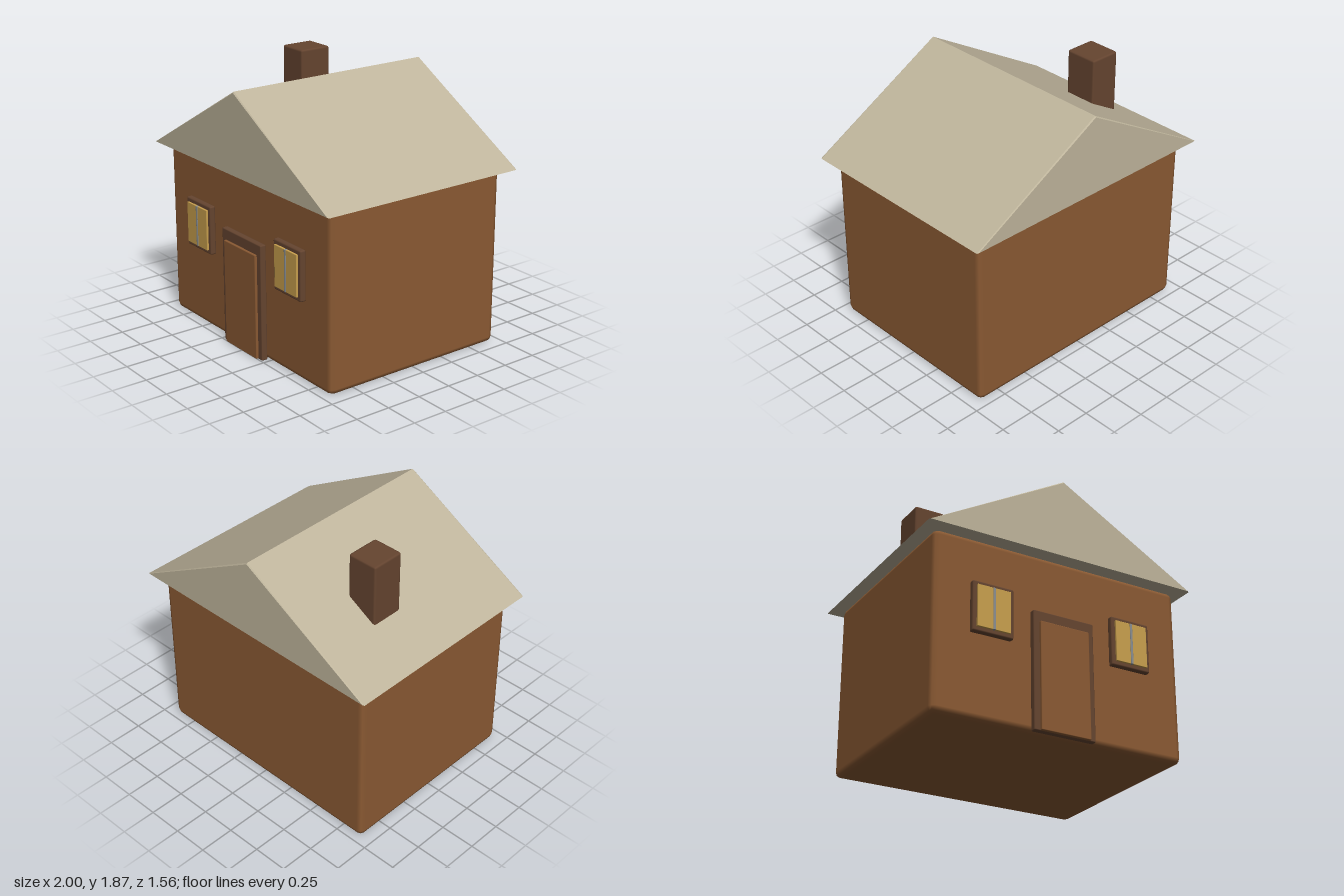
import * as THREE from 'three';
import { RoundedBoxGeometry } from 'three/addons/geometries/RoundedBoxGeometry.js';

function material(name, color) {
  const m = new THREE.MeshStandardMaterial({ color });
  m.name = name;
  return m;
}

export function createModel() {
  const wood = material('warm brown wood', 0x8b5a33);
  const trim = material('dark brown trim', 0x664530);
  const roofing = material('pale stone roofing', 0xbfb59c);
  const glass = material('amber glass', 0xc9a04e);
  const metal = material('grey metal', 0x8a8f92);

  const house = new THREE.Group();
  house.name = 'house';

  // Box with chamfered, softly shaded edges, given by its limits
  function block(name, mat, [x0, x1], [y0, y1], [z0, z1], bevel, parent = house) {
    const geometry = new RoundedBoxGeometry(x1 - x0, y1 - y0, z1 - z0, 1, bevel);
    const mesh = new THREE.Mesh(geometry, mat);
    mesh.name = name;
    mesh.position.set((x0 + x1) / 2, (y0 + y1) / 2, (z0 + z1) / 2);
    parent.add(mesh);
    return mesh;
  }

  // Walls
  block('walls', wood, [-0.92, 0.92], [0, 1.24], [-0.7, 0.7], 0.04);

  // Gabled roof with a fine bevel at the gable ends
  const gable = new THREE.Shape();
  gable.moveTo(-1, 1.24);
  gable.lineTo(1, 1.24);
  gable.lineTo(0, 1.81);
  gable.closePath();
  const bevel = 0.008;
  const roofGeometry = new THREE.ExtrudeGeometry(gable, {
    depth: 1.56 - 2 * bevel,
    bevelEnabled: true,
    bevelThickness: bevel,
    bevelSize: bevel,
    bevelOffset: -bevel,
    bevelSegments: 1,
  });
  roofGeometry.translate(0, 0, -0.78 + bevel);
  const roof = new THREE.Mesh(roofGeometry, roofing);
  roof.name = 'roof';
  house.add(roof);

  // Chimney on the right slope, towards the back
  block('chimney', trim, [-0.668, -0.445], [1.3, 1.87], [-0.33, -0.09], 0.015);

  // Door and its frame
  block('doorFrame', trim, [-0.225, 0.225], [0, 0.82], [0.698, 0.743], 0.008);
  block('door', wood, [-0.182, 0.182], [0.003, 0.745], [0.73, 0.76], 0.006);

  // Windows: frame, two panes and a central bar
  for (const side of [-1, 1]) {
    const window = new THREE.Group();
    window.name = side > 0 ? 'leftWindow' : 'rightWindow';
    window.position.x = side * 0.517;
    house.add(window);
    block('windowFrame', trim, [-0.148, 0.148], [0.57, 0.92], [0.698, 0.743], 0.012, window);
    block('innerPane', glass, [-0.12, -0.008], [0.6, 0.89], [0.735, 0.757], 0.003, window);
    block('outerPane', glass, [0.008, 0.12], [0.6, 0.89], [0.735, 0.757], 0.003, window);
    block('windowBar', metal, [-0.009, 0.009], [0.6, 0.89], [0.735, 0.76], 0.003, window);
  }

  return house;
}
